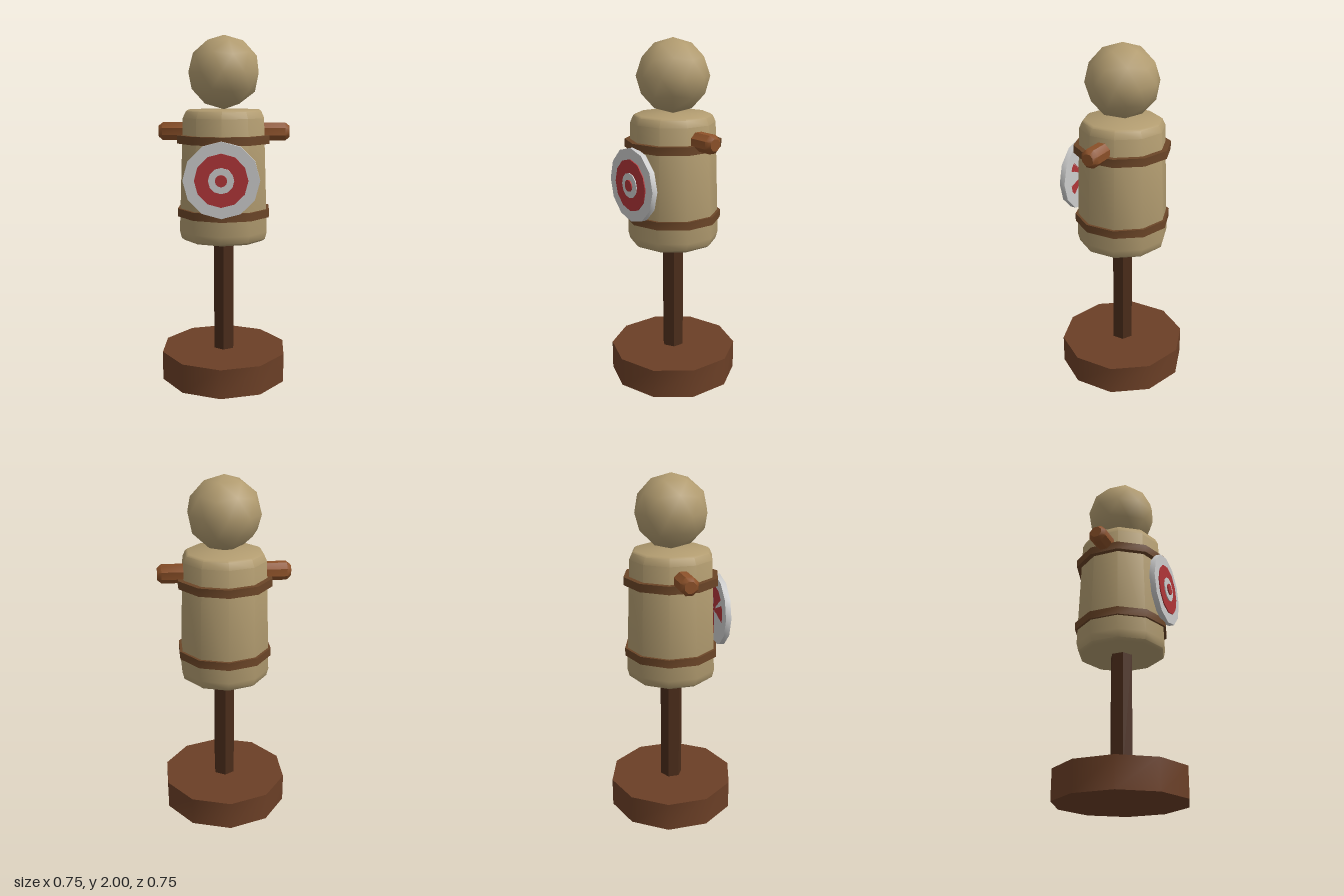
import * as THREE from 'three';
import { toCreasedNormals } from 'three/addons/utils/BufferGeometryUtils.js';

const CREASE = THREE.MathUtils.degToRad(40);

const material = (color) => new THREE.MeshStandardMaterial({ color });
const burlap = material(0xb29c70);
const baseWood = material(0x6b3f26);
const postWood = material(0x4a2c1a);
const strapLeather = material(0x6b4527);
const armWood = material(0x8b5028);
const targetWhite = material(0xcccccc);
const targetRed = material(0xb03538);

// Adds a named mesh with smooth sides and sharp rims
function add(group, name, geometry, mat) {
  const mesh = new THREE.Mesh(toCreasedNormals(geometry, CREASE), mat);
  mesh.name = name;
  group.add(mesh);
  return mesh;
}

// Upright prism between two heights
function prism(radius, y0, y1, sides) {
  return new THREE.CylinderGeometry(radius, radius, y1 - y0, sides).translate(0, (y0 + y1) / 2, 0);
}

function lathe(points, sides) {
  return new THREE.LatheGeometry(points.map(([r, y]) => new THREE.Vector2(r, y)), sides);
}

export function createModel() {
  const model = new THREE.Group();
  model.name = 'trainingDummy';

  // Stand
  add(model, 'base', prism(0.374, 0, 0.17, 10), baseWood);
  add(model, 'post', prism(0.065, 0.16, 0.86, 6), postWood);

  // Stuffed body, tapering upward with rounded rims
  add(model, 'body', lathe([
    [0, 0.84], [0.236, 0.84], [0.252, 0.852], [0.263, 0.895],
    [0.24, 1.54], [0.223, 1.577], [0.21, 1.586], [0, 1.586],
  ], 10), burlap);

  // Straps around the body
  add(model, 'lowerStrap', prism(0.274, 0.98, 1.026, 10), strapLeather);
  add(model, 'upperStrap', prism(0.274, 1.398, 1.444, 10), strapLeather);

  // Crossbar through the shoulders, with chamfered ends
  const bar = lathe([
    [0, -0.374], [0.034, -0.374], [0.054, -0.35],
    [0.054, 0.35], [0.034, 0.374], [0, 0.374],
  ], 8).rotateY(Math.PI / 8).rotateZ(-Math.PI / 2);
  add(model, 'armBar', bar, armWood).position.y = 1.463;

  // Head: faceted ball standing on one of its corners
  const ball = new THREE.IcosahedronGeometry(0.206, 1).rotateZ(-Math.atan(2 / (1 + Math.sqrt(5))));
  const head = new THREE.Mesh(ball, burlap);
  head.name = 'head';
  head.position.y = 1.794;
  model.add(head);

  // Target: stacked discs, each smaller and further forward
  const target = new THREE.Group();
  target.name = 'target';
  target.position.y = 1.214;
  const discs = [
    ['targetBoard', 0.21, 0.29, targetWhite],
    ['outerRing', 0.147, 0.296, targetRed],
    ['innerRing', 0.071, 0.301, targetWhite],
    ['bullseye', 0.033, 0.308, targetRed],
  ];
  for (const [name, radius, front, mat] of discs) {
    add(target, name, prism(radius, 0.258, front, 12).rotateX(Math.PI / 2), mat);
  }
  model.add(target);

  return model;
}
